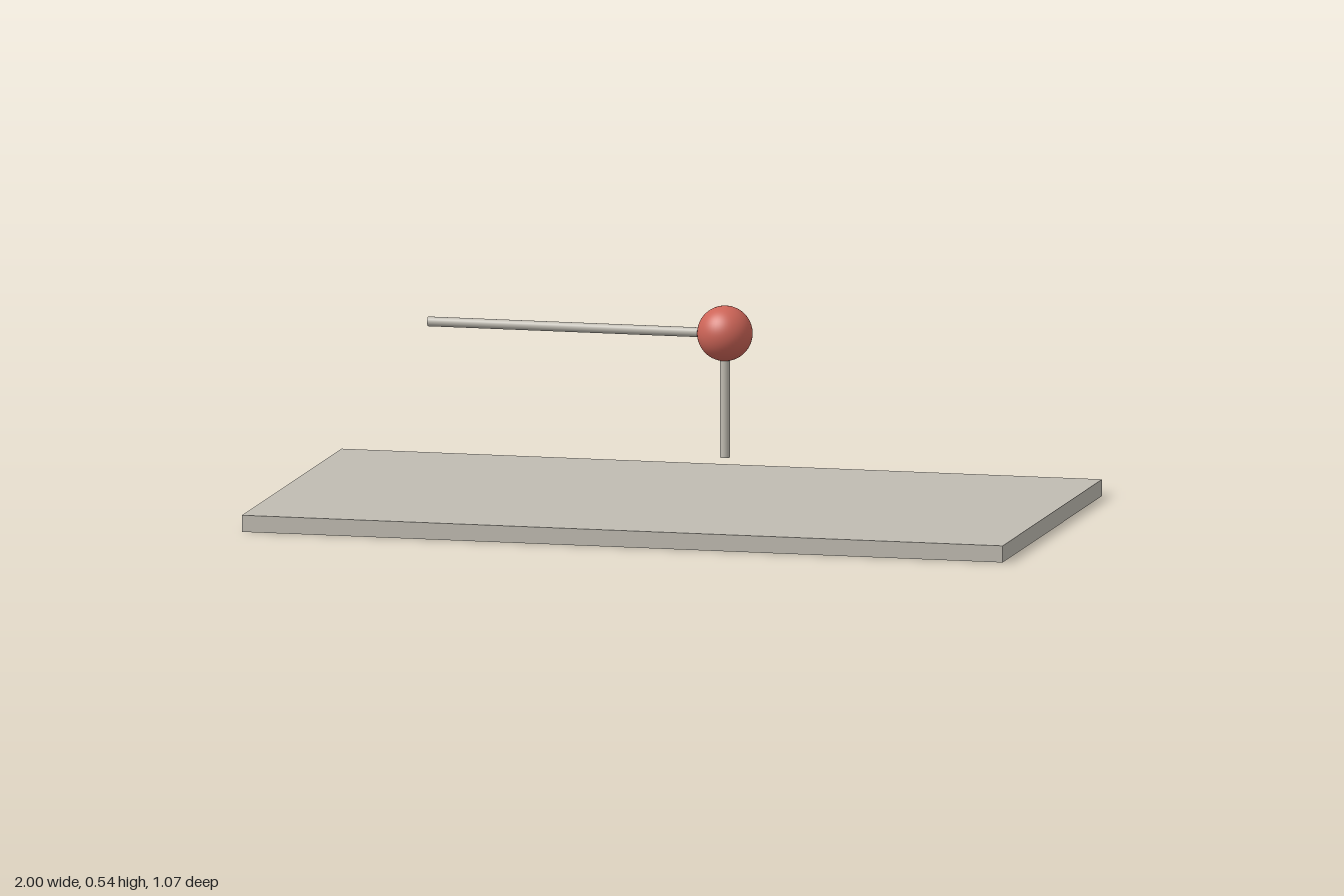
import * as THREE from 'three';

export function createModel() {
  const model = new THREE.Group();
  model.name = 'jointedRodsOverPlate';

  const stone = new THREE.MeshStandardMaterial({ color: 0xc0bcb2 });
  stone.name = 'warm grey';
  const red = new THREE.MeshStandardMaterial({ color: 0xcc6457 });
  red.name = 'soft red';

  const joint = new THREE.Vector3(0.139, 0.473, 0);
  const rodRadius = 0.0125;

  function add(name, geometry, material, x, y, z) {
    const mesh = new THREE.Mesh(geometry, material);
    mesh.name = name;
    mesh.position.set(x, y, z);
    model.add(mesh);
    return mesh;
  }

  // Straight rod running from the joint to an end point
  function addRod(name, end) {
    const along = end.clone().sub(joint);
    const middle = joint.clone().add(end).multiplyScalar(0.5);
    const geometry = new THREE.CylinderGeometry(rodRadius, rodRadius, along.length(), 24);
    const rod = add(name, geometry, stone, middle.x, middle.y, middle.z);
    rod.quaternion.setFromUnitVectors(new THREE.Vector3(0, 1, 0), along.normalize());
  }

  // Flat plate on the ground
  add('basePlate', new THREE.BoxGeometry(2, 0.043, 1.066), stone, 0, 0.0215, 0);

  // Ball joint floating above the plate
  add('ballJoint', new THREE.SphereGeometry(0.071, 48, 32), red, joint.x, joint.y, joint.z);

  // One rod reaches sideways, the other hangs down
  addRod('horizontalRod', new THREE.Vector3(-0.641, joint.y, 0));
  addRod('hangingRod', new THREE.Vector3(joint.x, 0.152, 0));

  return model;
}
